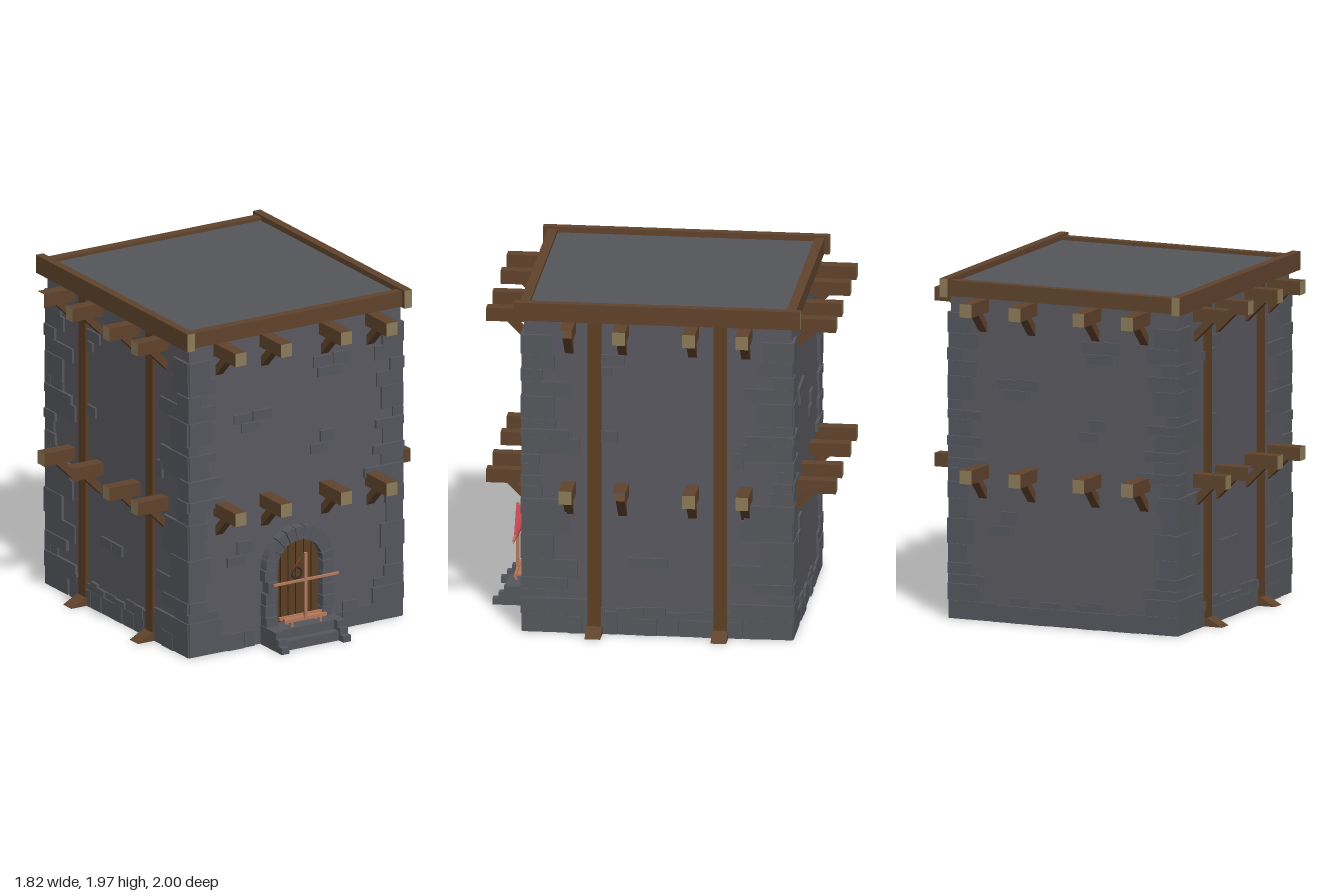
import * as THREE from 'three';

const mat = (name, color, side = THREE.FrontSide) => {
  const m = new THREE.MeshStandardMaterial({ color, side });
  m.name = name;
  return m;
};
const M = {
  wall: mat('wall grey', 0x5a5960, THREE.DoubleSide),
  stone: mat('stone grey', 0x56575d),
  roof: mat('roof grey', 0x54565b),
  wood: mat('beam brown', 0x60432c),
  post: mat('post brown', 0x5c3f23),
  end: mat('cut wood tan', 0x8c7c58),
  gap: mat('dark gap', 0x33220f),
  iron: mat('iron', 0x2e2e32),
  orange: mat('light wood', 0xb4795c),
  red: mat('red cloth', 0xbf4650),
};

let seed = 7;
const rand = (a, b) => {
  seed = (seed * 16807) % 2147483647;
  return a + (b - a) * (seed / 2147483647);
};

function add(parent, name, geo, material, x = 0, y = 0, z = 0) {
  const m = new THREE.Mesh(geo, material);
  m.name = name;
  m.position.set(x, y, z);
  parent.add(m);
  return m;
}
// Box given by its limits on each axis
const block = (p, name, material, x0, x1, y0, y1, z0, z1) =>
  add(p, name, new THREE.BoxGeometry(x1 - x0, y1 - y0, z1 - z0), material,
    (x0 + x1) / 2, (y0 + y1) / 2, (z0 + z1) / 2);

function group(parent, name) {
  const g = new THREE.Group();
  g.name = name;
  parent.add(g);
  return g;
}

// Jutting beam with a pale cut end and a diagonal brace below
function beam(p, x, y, wallZ, tipZ, capped) {
  const g = group(p, 'juttingBeam');
  const b = block(g, 'beam', [M.wood, M.wood, M.wood, M.wood, M.end, M.wood],
    x - 0.037, x + 0.037, y, y + 0.078, wallZ - 0.03, tipZ);
  if (!capped) b.geometry.groups = b.geometry.groups.filter(f => f.materialIndex !== 4);
  add(g, 'brace', new THREE.BoxGeometry(0.05, 0.042, 0.19), M.wood, x, y - 0.045, wallZ + 0.045)
    .rotation.x = -Math.PI / 4;
}

// Corner stones from the ground up: height, width on front, width on side
const QUOINS = [
  [0.11, 0.3, 0.26], [0.1, 0.19, 0.36], [0.055, 0.2, 0.13], [0.07, 0.12, 0.25], [0.11, 0.1, 0.33],
  [0.15, 0.14, 0.17], [0.12, 0.1, 0.28], [0.1, 0.11, 0.26], [0.08, 0.1, 0.11], [0.06, 0.24, 0.1],
  [0.07, 0.14, 0.08], [0.06, 0.2, 0.1], [0.1, 0.12, 0.31], [0.055, 0.18, 0.28], [0.06, 0.06, 0.19],
  [0.14, 0.14, 0.19], [0.09, 0.17, 0.29], [0.075, 0.08, 0.1], [0.09, 0.17, 0.19], [0.12, 0.13, 0.16],
];

// Stonework of one wall, in local space facing +z
function stonework(p, half, wallZ, column, clusters, doorGap) {
  const g = group(p, 'stonework');
  for (const s of [-1, 1]) {
    let y = 0;
    QUOINS.forEach((q, i) => {
      const a = s * (half + 0.006 + (i % 3) * 0.004), b = s * (half - q[column] * rand(0.9, 1.05));
      block(g, 'cornerStone', M.stone, Math.min(a, b), Math.max(a, b), y + 0.002, y + q[0] - 0.003,
        wallZ - 0.05, wallZ + 0.013 + (i % 2) * 0.005);
      y += q[0] * 0.975;
    });
  }
  // Uneven base course
  for (let row = 0; row < 2; row++) {
    for (let x = -half + 0.25; x < half - 0.26;) {
      const w = rand(0.07, 0.13), y0 = row * 0.1;
      const clear = Math.abs(x + w / 2) > doorGap + w / 2;
      if (clear && (row === 0 || column === 2 || rand(0, 1) > 0.55))
        block(g, 'baseStone', M.stone, x, x + w - 0.005, y0, row ? rand(0.13, 0.17) : 0.097,
          wallZ - 0.07, wallZ + rand(0.009, 0.018));
      x += w;
    }
  }
  for (const [x0, x1, y0, y1] of clusters)
    block(g, 'looseStone', M.stone, x0, x1, y0, y1, wallZ - 0.03, wallZ + 0.014);
}

const FRONT_STONES = [
  [0.12, 0.245, 1.595, 1.66], [0.25, 0.35, 1.595, 1.665], [0.15, 0.31, 1.535, 1.59],
  [-0.41, -0.29, 1.35, 1.405], [-0.285, -0.16, 1.35, 1.41], [-0.36, -0.24, 1.29, 1.345],
  [0.165, 0.255, 1.145, 1.21], [0.1, 0.21, 1.08, 1.135],
  [-0.39, -0.295, 0.565, 0.64], [-0.455, -0.34, 0.5, 0.555],
];
const SIDE_STONES = [
  [-0.33, -0.19, 1.6, 1.665], [-0.4, -0.265, 1.535, 1.59], [-0.34, -0.23, 1.145, 1.21],
  [0.43, 0.49, 1.0, 1.1], [-0.17, -0.06, 0.405, 0.46], [-0.055, 0.055, 0.4, 0.46],
];
const ROWS = [-0.505, -0.2, 0.2, 0.505];

// Front and right walls with their timber; turned half way round for the other two
function halfTower(parent, isFront) {
  const g = group(parent, isFront ? 'frontAndLeftWalls' : 'backAndRightWalls');

  const front = group(g, 'endWall');
  stonework(front, 0.705, 0.765, 1, FRONT_STONES, isFront ? 0.23 : -1);
  for (const x of ROWS) for (const y of [0.826, 1.787]) beam(front, x, y, 0.765, 1, true);
  block(front, 'roofTrim', M.wood, -0.7, 0.7, 1.865, 1.955, 0.735, 0.79);

  const side = group(g, 'sideWall');
  side.rotation.y = Math.PI / 2;
  stonework(side, 0.765, 0.705, 2, SIDE_STONES, -1);
  for (const x of ROWS) {
    beam(side, x, 0.824, 0.705, 0.91, x !== -0.2);
    beam(side, x, 1.782, 0.705, 0.91, x !== -0.505);
  }
  block(side, 'roofTrim', [M.end, M.end, M.wood, M.wood, M.wood, M.wood],
    -0.82, 0.82, 1.86, 1.967, 0.7, 0.75);
  // Upright posts on wedge feet
  const foot = new THREE.Shape([[0, 0], [0.12, 0], [0.03, 0.048], [0, 0.048]]
    .map(c => new THREE.Vector2(...c)));
  for (const x of [-0.36, 0.36]) {
    block(side, 'post', M.post, x - 0.038, x + 0.038, 0, 1.865, 0.66, 0.725);
    const f = add(side, 'postFoot', new THREE.ExtrudeGeometry(foot, { depth: 0.09, bevelEnabled: false }),
      M.wood, x + 0.045, 0, 0.705);
    f.rotation.y = -Math.PI / 2;
  }
  if (!isFront) g.rotation.y = Math.PI;
}

// Arch outline: straight jambs with a half-round top
function archPath(path, r, y0, yc) {
  path.moveTo(-r, y0);
  path.lineTo(r, y0);
  path.lineTo(r, yc);
  path.absarc(0, yc, r, 0, Math.PI, false);
  path.lineTo(-r, y0);
  return path;
}

function shell(parent) {
  const g = group(parent, 'towerShell');
  const s = new THREE.Shape([[-0.705, 0], [0.705, 0], [0.705, 1.92], [-0.705, 1.92]]
    .map(c => new THREE.Vector2(...c)));
  add(g, 'backWall', new THREE.ShapeGeometry(s), M.wall, 0, 0, -0.765).rotation.y = Math.PI;
  s.holes.push(archPath(new THREE.Path(), 0.155, 0.1, 0.45));
  add(g, 'frontWall', new THREE.ShapeGeometry(s), M.wall, 0, 0, 0.765);
  for (const k of [-1, 1])
    add(g, 'sideWall', new THREE.PlaneGeometry(1.53, 1.92), M.wall, k * 0.705, 0.96, 0)
      .rotation.y = k * Math.PI / 2;
  block(g, 'roof', M.roof, -0.705, 0.705, 1.9, 1.935, -0.765, 0.75);
}

function doorway(parent) {
  const g = group(parent, 'doorway');
  const R = 0.155, YC = 0.45;
  add(g, 'doorBacking', new THREE.ShapeGeometry(archPath(new THREE.Shape(), R, 0.1, YC)), M.gap, 0, 0, 0.766);
  // Planks cut to the arch
  const n = 6, w = 2 * R / n;
  for (let i = 0; i < n; i++) {
    const x0 = -R + i * w + 0.004, x1 = x0 + w - 0.008;
    const pts = [new THREE.Vector2(x0, 0.1), new THREE.Vector2(x1, 0.1)];
    for (let k = 0; k <= 4; k++) {
      const x = x1 + (x0 - x1) * k / 4;
      pts.push(new THREE.Vector2(x, YC + Math.sqrt(R * R - x * x)));
    }
    add(g, 'doorPlank', new THREE.ShapeGeometry(new THREE.Shape(pts)), M.post, 0, 0, 0.774);
  }
  add(g, 'doorRing', new THREE.TorusGeometry(0.032, 0.006, 6, 16), M.iron, 0, 0.39, 0.785);
  // Arch and jamb stones
  const count = 11;
  for (let i = 0; i < count; i++) {
    const a = Math.PI * i / count + 0.012, b = Math.PI * (i + 1) / count - 0.012, out = rand(0.218, 0.232);
    const s = new THREE.Shape();
    s.absarc(0, YC, out, a, b, false);
    s.absarc(0, YC, 0.15, b, a, true);
    add(g, 'archStone', new THREE.ExtrudeGeometry(s, { depth: 0.08, bevelEnabled: false, curveSegments: 2 }),
      M.stone, 0, 0, 0.745 + rand(-0.006, 0.004));
  }
  for (const k of [-1, 1])
    for (let i = 0; i < 5; i++) {
      const a = k * 0.15, b = k * rand(0.212, 0.232);
      block(g, 'jambStone', M.stone, Math.min(a, b), Math.max(a, b), 0.1 + i * 0.07, 0.166 + i * 0.07,
        0.745, 0.825 + rand(-0.006, 0.004));
    }
  // Steps between stepped curbs
  block(g, 'lowerStep', M.stone, -0.18, 0.18, 0, 0.055, 0.77, 0.95);
  block(g, 'upperStep', M.stone, -0.18, 0.18, 0.055, 0.11, 0.77, 0.9);
  for (const k of [-1, 1])
    [[0, 0.038, 1], [0.038, 0.075, 0.965], [0.075, 0.112, 0.935]].forEach(([y0, y1, z]) =>
      block(g, 'stepCurb', M.stone, k * 0.205 - 0.026, k * 0.205 + 0.026, y0, y1, 0.77, z));
}

// Small bench-like frame with a mast, cross bar and draped cloth
function clothStand(parent) {
  const g = group(parent, 'clothStand');
  block(g, 'mast', M.orange, -0.009, 0.009, 0.14, 0.54, 0.872, 0.89);
  block(g, 'crossBar', M.orange, -0.21, 0.22, 0.373, 0.386, 0.874, 0.888);
  block(g, 'bench', M.orange, -0.12, 0.12, 0.14, 0.15, 0.825, 0.885);
  for (const z of [0.825, 0.88]) {
    block(g, 'benchRail', M.orange, -0.14, 0.14, 0.138, 0.158, z - 0.007, z + 0.007);
    for (const x of [-0.09, 0.1]) block(g, 'benchLeg', M.orange, x - 0.007, x + 0.007, 0.08, 0.14, z - 0.007, z + 0.007);
  }
  // Cloth billows toward the door, narrow at the mast head and wide below
  const cloth = new THREE.PlaneGeometry(2, 1, 12, 6);
  const p = cloth.attributes.position;
  for (let i = 0; i < p.count; i++) {
    const u = p.getX(i), v = 0.5 - p.getY(i);
    const belly = (1 - u * u) * Math.sin(Math.PI * (0.12 + 0.75 * v));
    p.setXYZ(i, -u * (0.03 + 0.14 * v), 0.53 - 0.15 * v - 0.04 * v * u * u, 0.888 - 0.06 * belly);
  }
  cloth.computeVertexNormals();
  add(g, 'cloth', cloth, M.red);
}

export function createModel() {
  const root = new THREE.Group();
  root.name = 'stoneTower';
  shell(root);
  halfTower(root, true);
  halfTower(root, false);
  doorway(root);
  clothStand(root);
  return root;
}
